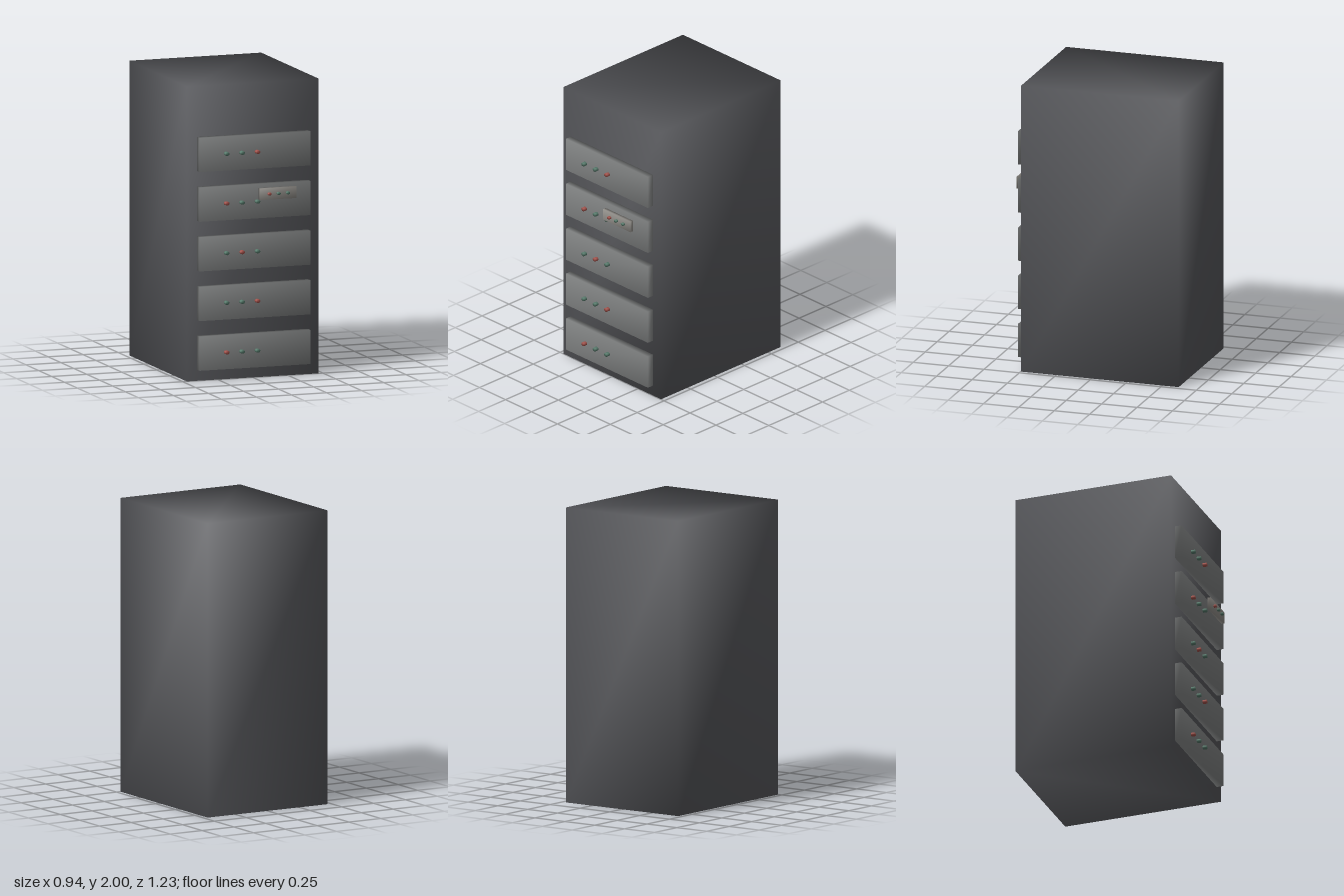
import * as THREE from 'three';
import { mergeVertices } from 'three/addons/utils/BufferGeometryUtils.js';

const mat = (color) => new THREE.MeshStandardMaterial({ color });

// Weld the corners so the shading runs smoothly around the edges
function soften(geometry) {
  geometry.deleteAttribute('normal');
  geometry.deleteAttribute('uv');
  const welded = mergeVertices(geometry, 1e-5);
  welded.computeVertexNormals();
  return welded;
}

// Box given by its minimum and maximum corners
function box(name, min, max, material) {
  const size = max.map((v, i) => v - min[i]);
  const mesh = new THREE.Mesh(soften(new THREE.BoxGeometry(...size)), material);
  mesh.position.set(...max.map((v, i) => (v + min[i]) / 2));
  mesh.name = name;
  return mesh;
}

export function createModel() {
  const model = new THREE.Group();
  model.name = 'serverCabinet';
  const cabinetMat = mat(0x58595d);
  const panelMat = mat(0x7e8080);
  const plateMat = mat(0x918e89);
  const lights = { r: mat(0xa3524b), g: mat(0x567a6b) };

  // Row of oval indicator lights standing off a panel
  function lightRow(name, colors, xs, y, z0, z1, width, height) {
    const row = new THREE.Group();
    row.name = name;
    const geometry = new THREE.CylinderGeometry(0.5, 0.5, 1, 16);
    geometry.rotateX(Math.PI / 2);
    geometry.scale(width, height, z1 - z0);
    const smooth = soften(geometry);
    xs.forEach((x, i) => {
      const light = new THREE.Mesh(smooth, lights[colors[i]]);
      light.position.set(x, y, (z0 + z1) / 2);
      light.name = 'indicatorLight';
      row.add(light);
    });
    return row;
  }

  // Cabinet body
  model.add(box('cabinet', [-0.47, 0, -0.615], [0.47, 2, 0.498], cabinetMat));

  // Five drive panels, top to bottom, each with three lights
  ['ggr', 'rgg', 'grg', 'ggr', 'rgg'].forEach((colors, i) => {
    const y = 1.539 - i * 0.337;
    const unit = new THREE.Group();
    unit.name = 'driveUnit';
    unit.add(
      box('drivePanel', [-0.397, y - 0.116, 0.498], [0.393, y + 0.116, 0.546], panelMat),
      lightRow('driveLights', colors, [-0.208, -0.098, 0.012], y, 0.544, 0.57, 0.032, 0.026)
    );
    model.add(unit);
  });

  // Small control plate in front of the second panel
  const control = new THREE.Group();
  control.name = 'controlPlate';
  control.add(
    box('plate', [0.015, 1.217, 0.574], [0.277, 1.296, 0.597], plateMat),
    lightRow('plateLights', 'rgg', [0.081, 0.146, 0.212], 1.257, 0.594, 0.612, 0.026, 0.02)
  );
  model.add(control);

  return model;
}
